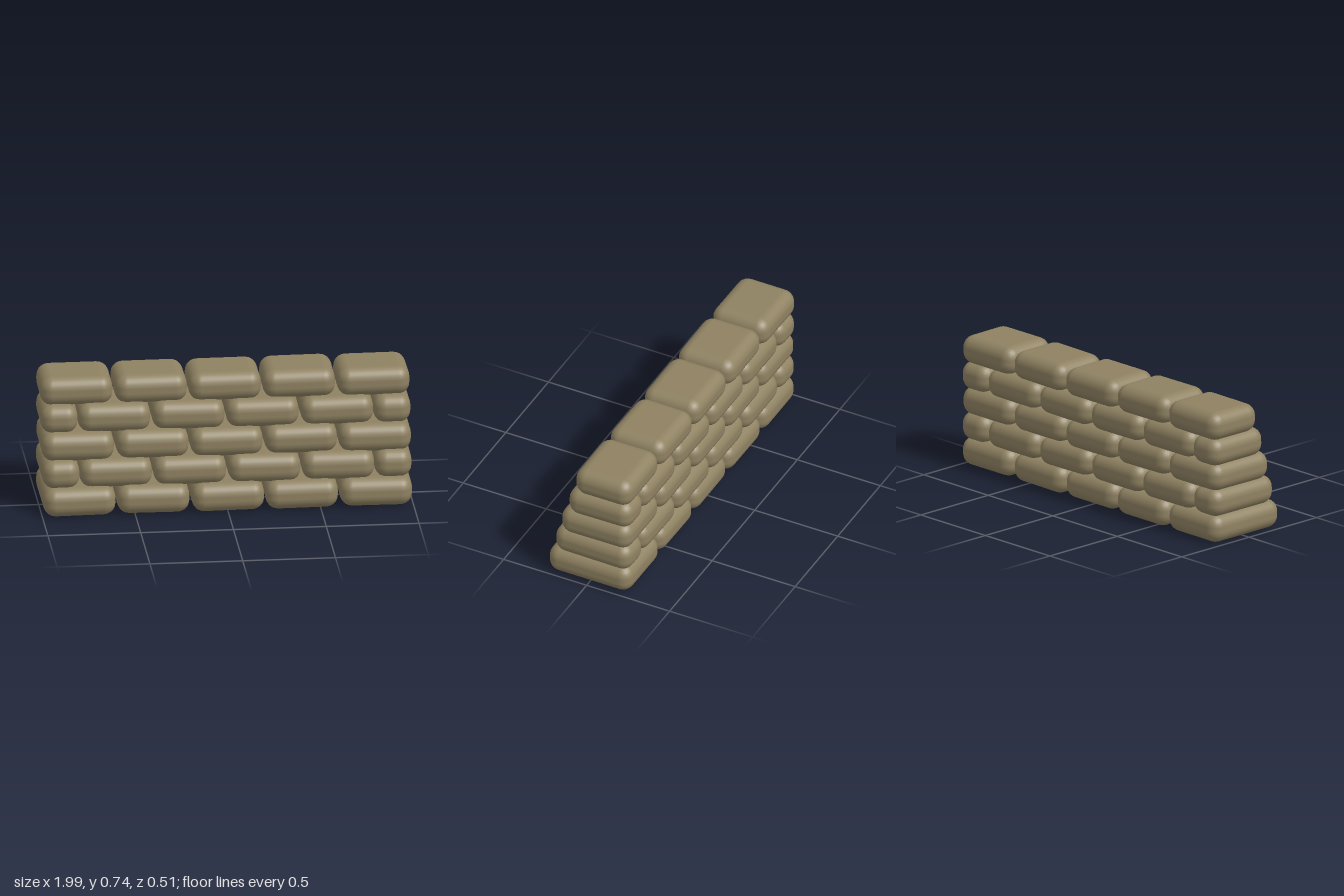
import * as THREE from 'three';
import { RoundedBoxGeometry } from 'three/addons/geometries/RoundedBoxGeometry.js';

const canvas = new THREE.MeshStandardMaterial({ color: 0x8f8262 });
canvas.name = 'khaki canvas';

const BACK = -0.25;
const PITCH = 0.143; // rows sink slightly into each other
const HEIGHT = 0.158;
const FRONTS = [0.25, 0.21, 0.172, 0.132, 0.088]; // stepped front face

// small seeded generator for the uneven stacking, -1..1
function makeJitter(seed) {
  let s = seed;
  return () => {
    s = (s * 16807) % 2147483647;
    return (s / 2147483647) * 2 - 1;
  };
}

// one stuffed bag: a soft block with almost fully rounded sides
function makeBag(name, x, y, width, front, jitter) {
  const depth = front - BACK;
  const bag = new THREE.Mesh(new RoundedBoxGeometry(width, HEIGHT, depth, 3, 0.066), canvas);
  bag.name = name;
  bag.position.set(x, y + HEIGHT / 2 + jitter() * 0.002, (front + BACK) / 2 + jitter() * 0.003);
  bag.rotation.set(jitter() * 0.008, jitter() * 0.012, jitter() * 0.01);
  return bag;
}

export function createModel() {
  const wall = new THREE.Group();
  wall.name = 'sandbagWall';
  const jitter = makeJitter(4711);

  FRONTS.forEach((front, i) => {
    const row = new THREE.Group();
    row.name = `row${i + 1}`;
    const y = 0.002 + i * PITCH;
    const halfBond = i % 2 === 1;
    const count = halfBond ? 4 : 5;

    // full bags, offset by half a bag in every second row
    for (let k = 0; k < count; k++) {
      const x = (k - (count - 1) / 2) * 0.4;
      row.add(makeBag('bag', x, y, 0.39, front, jitter));
    }
    // half bags close the ends of the offset rows
    if (halfBond) {
      for (const side of [-1, 1]) {
        row.add(makeBag('halfBag', side * 0.896, y, 0.2, front, jitter));
      }
    }
    wall.add(row);
  });
  return wall;
}
